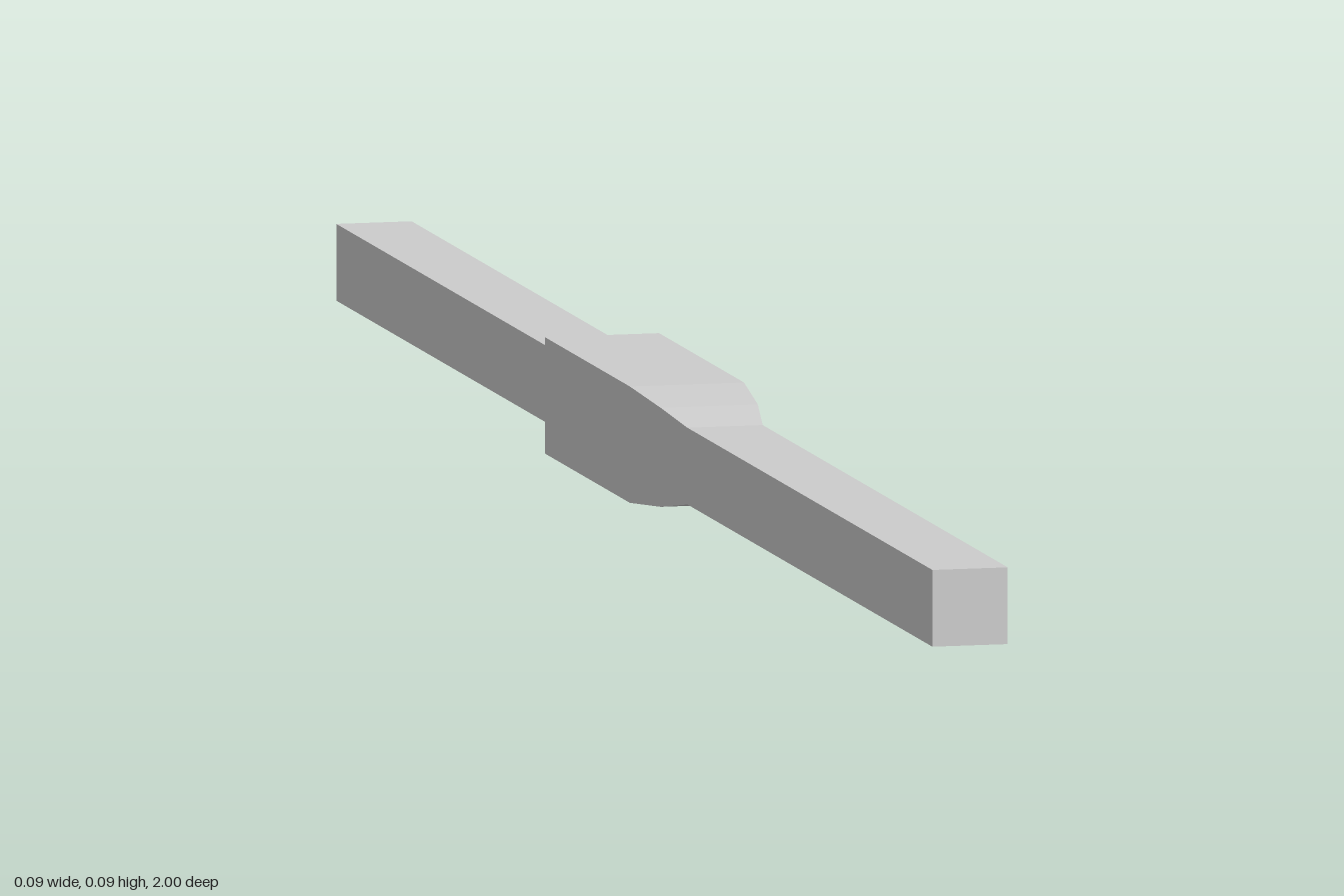
import * as THREE from 'three';

const ROD = 0.031;    // half width of the rod
const SLEEVE = 0.047; // half width of the sleeve, also the axis height

export function createModel() {
  const group = new THREE.Group();
  const material = new THREE.MeshStandardMaterial({ color: 0xcccccc, flatShading: true });

  // long square rod running front to back
  const rod = new THREE.Mesh(new THREE.BoxGeometry(ROD * 2, ROD * 2, 2), material);
  rod.name = 'rod';
  rod.position.y = SLEEVE;
  group.add(rod);

  // square sleeve: [half width, z] from the flat rear rim to the tapered front
  const profile = [
    [ROD, -0.235],
    [SLEEVE, -0.235],
    [SLEEVE, 0.05],
    [0.04, 0.125],
    [ROD, 0.178],
  ].map(([half, z]) => new THREE.Vector2(half * Math.SQRT2, z));
  const geometry = new THREE.LatheGeometry(profile, 4, Math.PI / 4);
  geometry.rotateX(Math.PI / 2);
  const sleeve = new THREE.Mesh(geometry, material);
  sleeve.name = 'sleeve';
  sleeve.position.y = SLEEVE;
  group.add(sleeve);

  return group;
}
